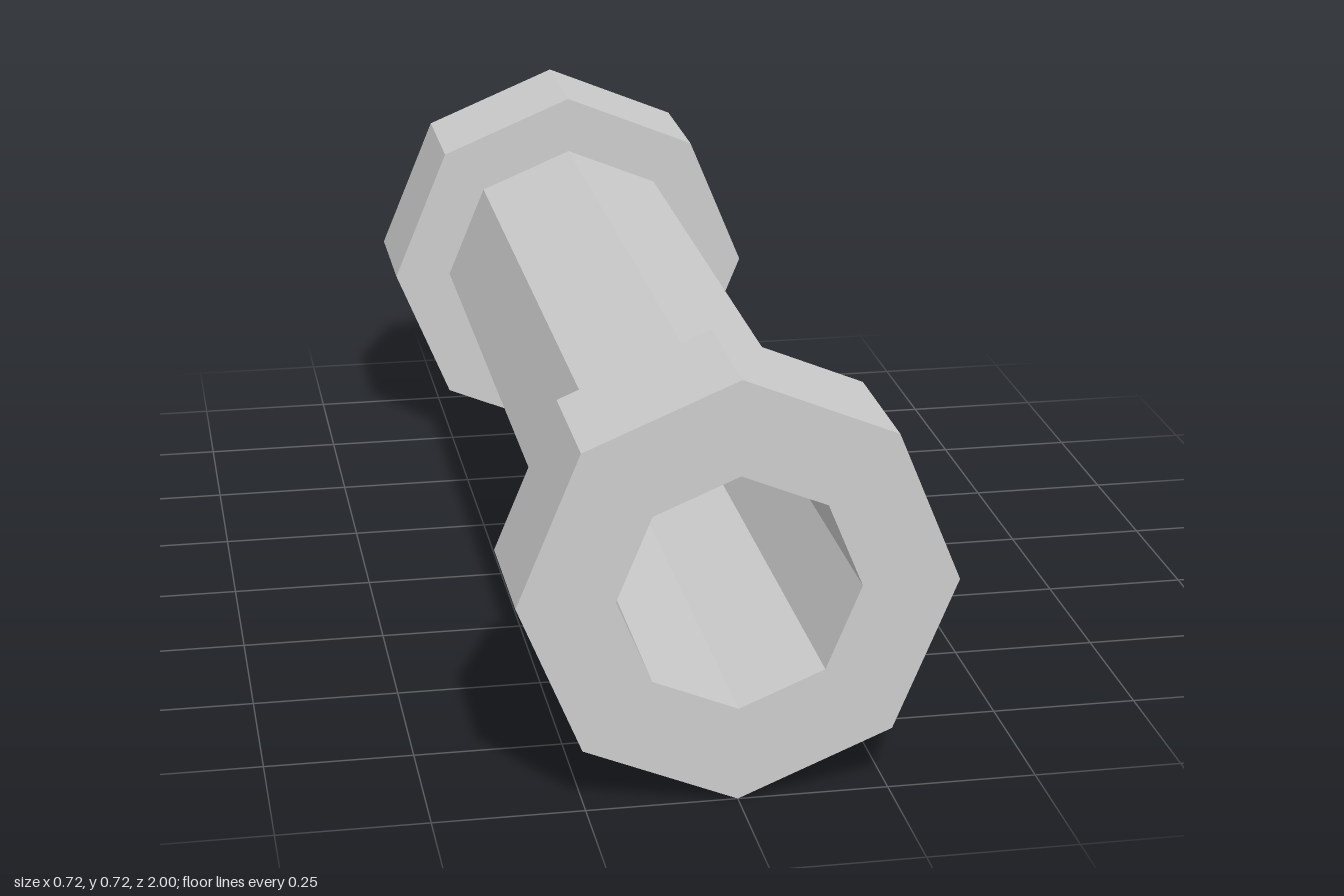
import * as THREE from 'three';

const SIDES = 8;
const BORE = 0.2, TUBE = 0.25, COLLAR = 0.36;
const END = 1, SHOULDER = 0.75;

const material = new THREE.MeshStandardMaterial({ color: 0xcccccc, flatShading: true });

// Octagonal surface turned around the z axis from [radius, z] points
function turned(name, profile) {
  const points = profile.map(([r, z]) => new THREE.Vector2(r, z));
  const geometry = new THREE.LatheGeometry(points, SIDES).rotateX(Math.PI / 2);
  const mesh = new THREE.Mesh(geometry, material);
  mesh.name = name;
  return mesh;
}

export function createModel() {
  const group = new THREE.Group();
  group.name = 'flangedPipe';

  // Outer wall of the pipe and the open bore running right through
  group.add(turned('pipeWall', [[TUBE, -SHOULDER], [TUBE, SHOULDER]]));
  group.add(turned('bore', [[BORE, END], [BORE, -END]]));

  // Collars: shoulder ring, rim and end ring
  const collar = [[TUBE, SHOULDER], [COLLAR, SHOULDER], [COLLAR, END], [BORE, END]];
  const frontCollar = turned('frontCollar', collar);
  const backCollar = turned('backCollar', collar);
  backCollar.rotation.y = Math.PI;
  group.add(frontCollar, backCollar);

  // Rest the lowest corner on the ground
  for (const part of group.children) part.position.y = COLLAR;
  return group;
}
